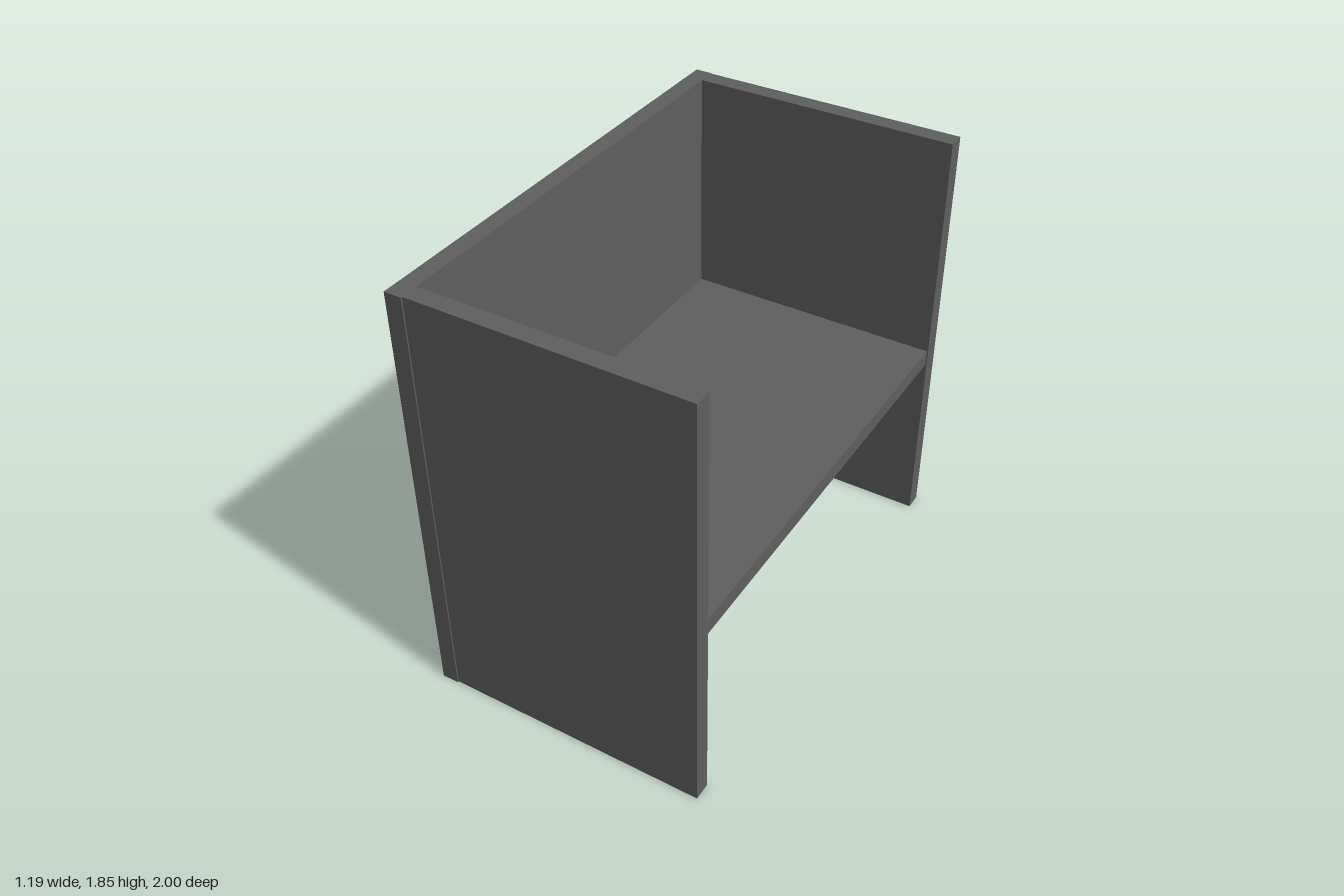
import * as THREE from 'three';

const material = new THREE.MeshStandardMaterial({ color: 0x5f5f5f, flatShading: true });

// Box panel given by its minimum and maximum corners
function panel(name, [x0, y0, z0], [x1, y1, z1]) {
  const mesh = new THREE.Mesh(new THREE.BoxGeometry(x1 - x0, y1 - y0, z1 - z0), material);
  mesh.name = name;
  mesh.position.set((x0 + x1) / 2, (y0 + y1) / 2, (z0 + z1) / 2);
  return mesh;
}

export function createModel() {
  const group = new THREE.Group();
  group.name = 'deskBooth';

  const height = 1.85;
  const outerX = 0.597; // half depth
  const innerX = -0.525; // inner face of the back panel
  const innerZ = 0.921; // inner face of the side panels

  // Tall back panel spanning the full width
  group.add(panel('backPanel', [-outerX, 0, -1], [innerX, height, 1]));

  // Side panels butted against the back panel
  group.add(panel('sidePanelFront', [innerX, 0, innerZ], [outerX, height, 0.994]));
  group.add(panel('sidePanelRear', [innerX, 0, -0.996], [outerX, height, -innerZ]));

  // Desk top held between the side panels
  group.add(panel('deskTop', [innerX, 0.805, -innerZ], [0.592, 0.875, innerZ]));

  return group;
}
